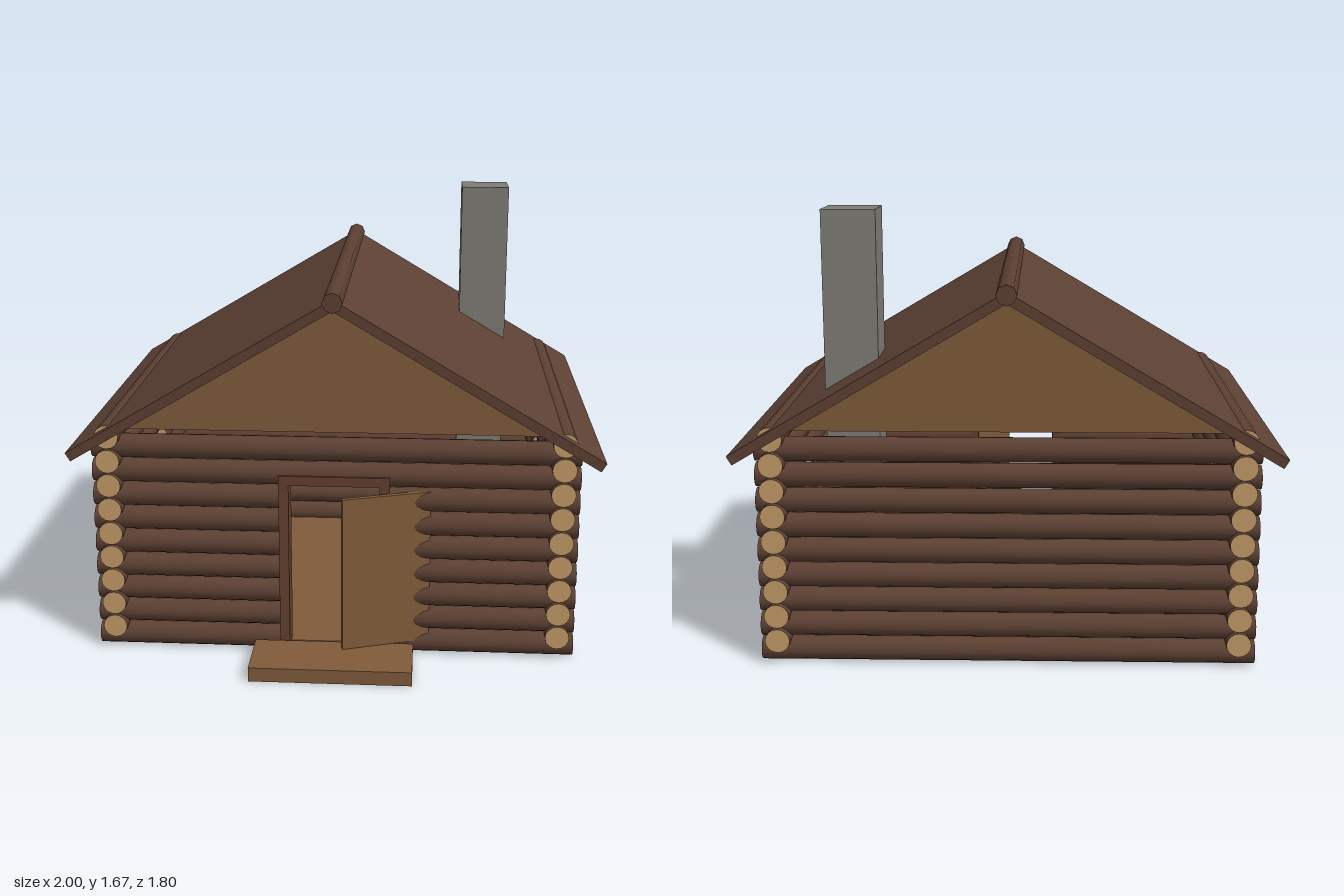
import * as THREE from 'three';

const mat = (name, color) => {
  const m = new THREE.MeshStandardMaterial({ color });
  m.name = name;
  return m;
};

export function createModel() {
  const bark = mat('bark', 0x5c4033);
  const cutWood = mat('cutWood', 0xc29a66);
  const plank = mat('plank', 0x7f5b3a);
  const frameWood = mat('frameWood', 0x633f2f);
  const stone = mat('stone', 0x7f7c75);

  const cabin = new THREE.Group();
  cabin.name = 'logCabin';

  const group = (name) => {
    const g = new THREE.Group();
    g.name = name;
    cabin.add(g);
    return g;
  };

  // box given by its min and max on each axis
  const box = (name, material, [x0, x1], [y0, y1], [z0, z1], parent = cabin) => {
    const m = new THREE.Mesh(new THREE.BoxGeometry(x1 - x0, y1 - y0, z1 - z0), material);
    m.position.set((x0 + x1) / 2, (y0 + y1) / 2, (z0 + z1) / 2);
    m.name = name;
    parent.add(m);
    return m;
  };

  // log along x or z from a to b, with pale sawn ends
  const R = 0.046, STEP = 0.0965;
  const log = (parent, axis, a, b, y, other) => {
    const geo = new THREE.CylinderGeometry(R, R, b - a, 16);
    if (axis === 'x') geo.rotateZ(-Math.PI / 2);
    else geo.rotateX(Math.PI / 2);
    const m = new THREE.Mesh(geo, [bark, cutWood, cutWood]);
    const mid = (a + b) / 2;
    m.position.set(axis === 'x' ? mid : other, y, axis === 'x' ? other : mid);
    m.name = 'log';
    parent.add(m);
  };

  // walls: nine courses, the side logs half a course higher
  const FRONT = 0.6, BACK = -0.765, SIDE = 0.855;
  const frontWall = group('frontWall');
  const backWall = group('backWall');
  const sideWalls = { 1: group('leftWall'), [-1]: group('rightWall') };
  for (let i = 0; i < 9; i++) {
    const y = 0.0475 + STEP * i;
    log(backWall, 'x', -0.92, 0.92, y, BACK);
    if (i < 7) {
      log(frontWall, 'x', -0.92, -0.18, y, FRONT);
      log(frontWall, 'x', 0.18, 0.92, y, FRONT);
    } else {
      log(frontWall, 'x', -0.92, 0.92, y, FRONT);
    }
    for (const s of [-1, 1]) {
      const ys = STEP * (i + 1);
      if (i >= 3 && i <= 5) { // window gap
        log(sideWalls[s], 'z', -0.835, -0.255, ys, s * SIDE);
        log(sideWalls[s], 'z', 0.09, 0.665, ys, s * SIDE);
      } else {
        log(sideWalls[s], 'z', -0.835, 0.665, ys, s * SIDE);
      }
    }
  }
  for (const s of [-1, 1]) {
    box('windowBar', frameWood, [s * SIDE - 0.015, s * SIDE + 0.015], [0.437, 0.459], [-0.26, 0.095], sideWalls[s]);
  }

  // floor and doorstep
  box('floor', plank, [-SIDE, SIDE], [0, 0.025], [BACK, FRONT]);
  box('doorstep', plank, [-0.305, 0.305], [0, 0.055], [0.665, 0.9]);

  // door frame and open door
  const doorway = group('doorway');
  box('rightPost', frameWood, [-0.21, -0.172], [0, 0.69], [0.555, 0.655], doorway);
  box('leftPost', frameWood, [0.172, 0.21], [0, 0.69], [0.555, 0.655], doorway);
  box('lintel', frameWood, [-0.21, 0.21], [0.688, 0.725], [0.555, 0.655], doorway);
  const door = box('door', plank, [0.025, 0.37], [0.058, 0.665], [0.661, 0.681], doorway);
  door.rotation.y = 0.325;

  // extruded outline standing in the xy plane
  const slab = (name, points, z0, z1, material, parent) => {
    const shape = new THREE.Shape(points.map(([x, y]) => new THREE.Vector2(x, y)));
    const geo = new THREE.ExtrudeGeometry(shape, { depth: z1 - z0, bevelEnabled: false });
    geo.translate(0, 0, z0);
    const m = new THREE.Mesh(geo, material);
    m.name = name;
    parent.add(m);
  };

  // gables
  for (const [name, z] of [['frontGable', FRONT], ['backGable', BACK]]) {
    slab(name, [[-0.82, 0.89], [0.82, 0.89], [0, 1.38]], z - 0.02, z + 0.02, plank, cabin);
  }

  // roof
  const roof = group('roof');
  for (const s of [-1, 1]) {
    slab(s > 0 ? 'leftSlope' : 'rightSlope',
      [[0, 1.414], [s, 0.82], [s * 0.981, 0.788], [0, 1.372]], -0.888, 0.715, bark, roof);
  }
  const ridgeGeo = new THREE.CylinderGeometry(0.038, 0.038, 1.635, 8);
  ridgeGeo.rotateX(Math.PI / 2);
  const ridge = new THREE.Mesh(ridgeGeo, bark);
  ridge.position.set(0, 1.404, -0.0875);
  ridge.name = 'ridgePole';
  roof.add(ridge);

  // chimney
  box('chimney', stone, [0.48, 0.68], [0.002, 1.675], [-0.63, -0.43]);

  return cabin;
}
